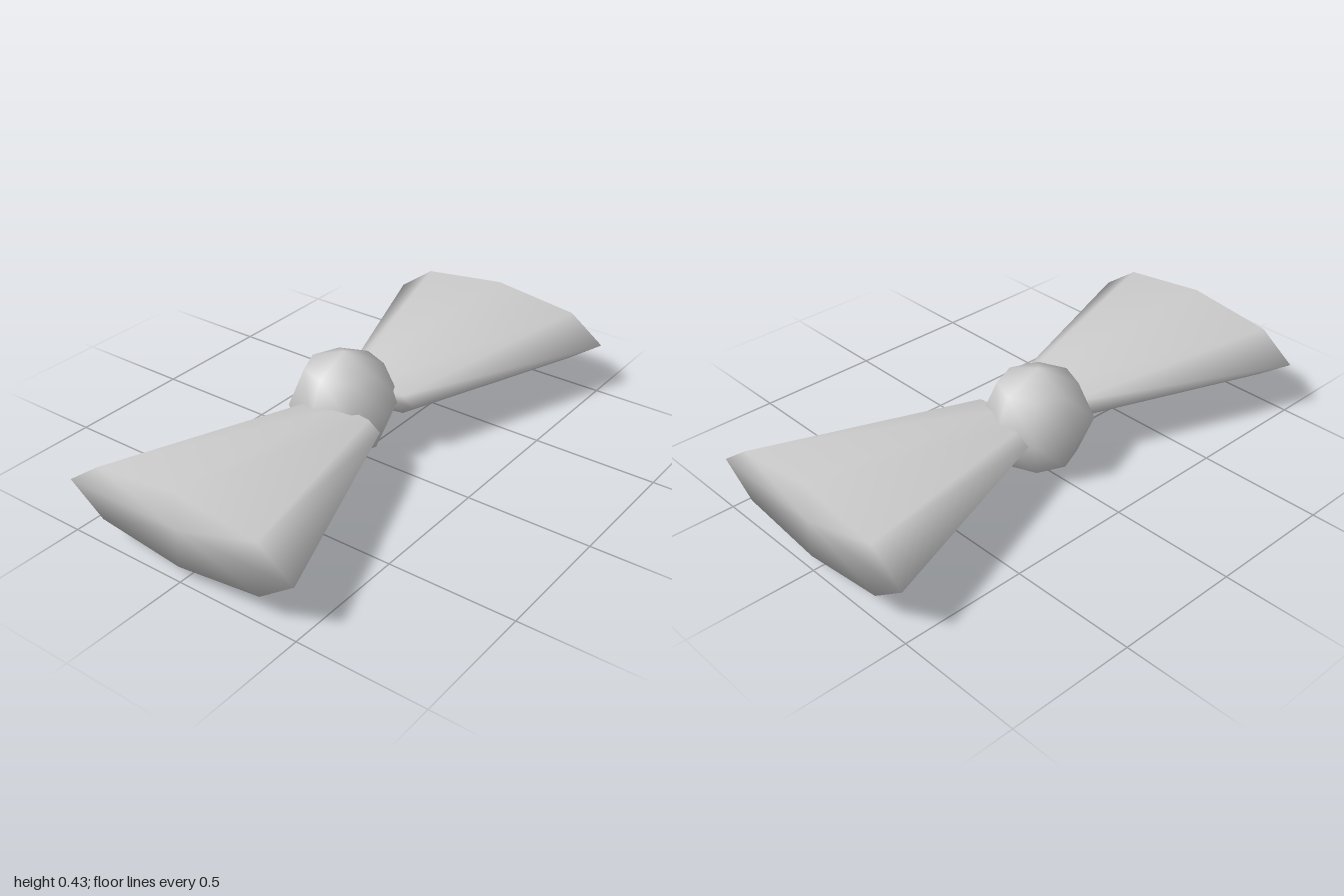
import * as THREE from 'three';
import { mergeVertices } from 'three/addons/utils/BufferGeometryUtils.js';

const MID_Y = 0.215;
const INNER_X = 0.11, OUTER_X = 1;

// Shares vertices between sides and caps so the shading stays soft
function softened(geometry) {
  geometry.deleteAttribute('uv');
  geometry.deleteAttribute('normal');
  const merged = mergeVertices(geometry, 1e-4);
  merged.computeVertexNormals();
  return merged;
}

// Flattened eight-sided flare along +x, closed at both ends
function wingGeometry() {
  const g = new THREE.CylinderGeometry(0.5, 0.175, OUTER_X - INNER_X, 8, 1);
  g.rotateZ(-Math.PI / 2);
  g.scale(1, 0.3, 1);
  g.translate((INNER_X + OUTER_X) / 2, 0, 0);
  return softened(g);
}

export function createModel() {
  const model = new THREE.Group();
  model.name = 'bowTie';
  const grey = new THREE.MeshStandardMaterial({ color: 0xcccccc });
  grey.name = 'light grey';

  // Two matching wings
  const wing = wingGeometry();
  for (const [name, turn] of [['leftWing', 0], ['rightWing', Math.PI]]) {
    const mesh = new THREE.Mesh(wing, grey);
    mesh.name = name;
    mesh.position.y = MID_Y;
    mesh.rotation.y = turn;
    model.add(mesh);
  }

  // Low-poly round knot, set slightly to the back
  const knot = new THREE.Mesh(softened(new THREE.SphereGeometry(0.214, 8, 4)), grey);
  knot.name = 'knot';
  knot.position.set(0, MID_Y, -0.073);
  model.add(knot);

  return model;
}
